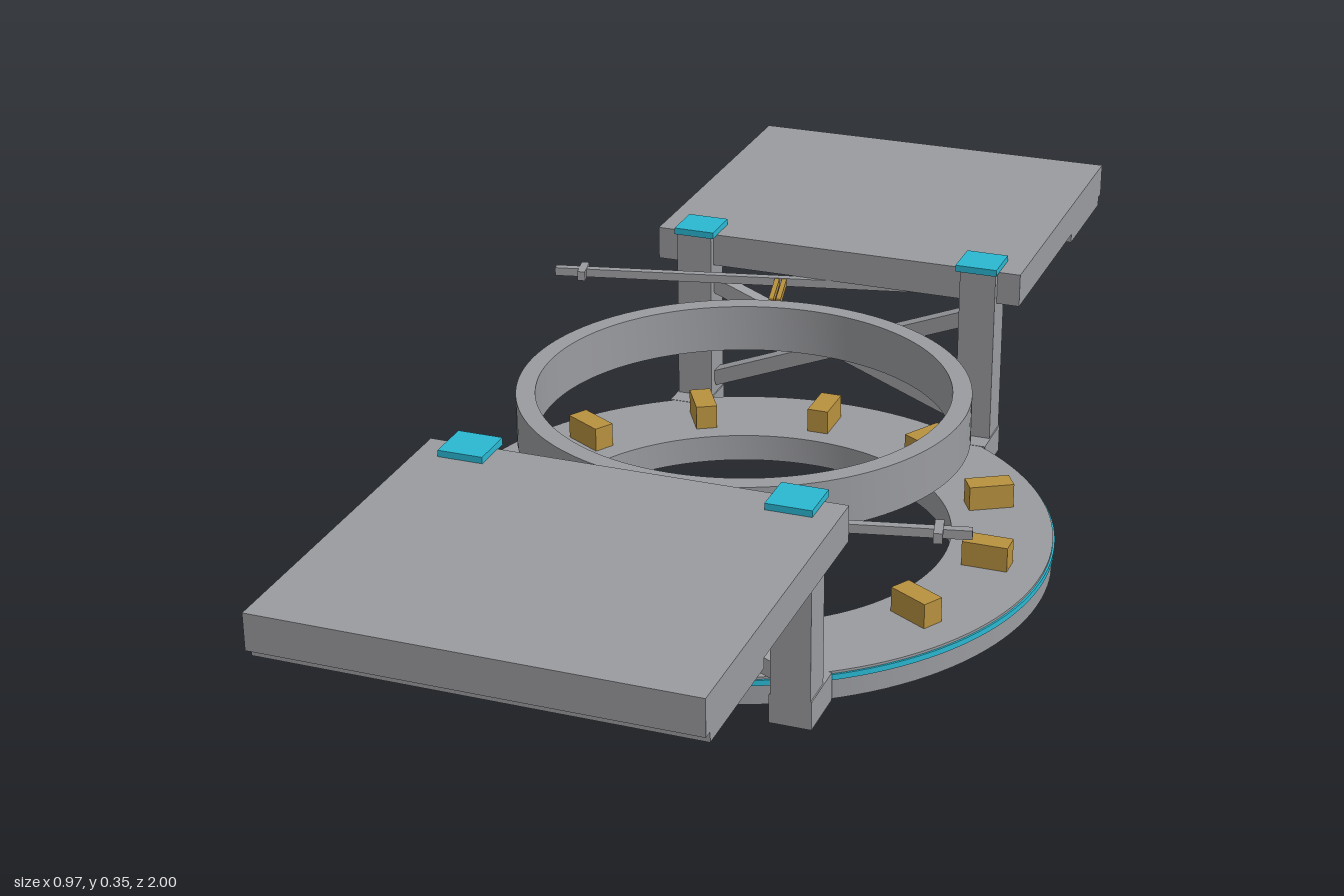
import * as THREE from 'three';
import { toCreasedNormals } from 'three/addons/utils/BufferGeometryUtils.js';

function material(name, color) {
  const m = new THREE.MeshStandardMaterial({ color });
  m.name = name;
  return m;
}

export function createModel() {
  const grey = material('steel grey', 0x9a9b9f);
  const gold = material('brass', 0xb8913f);
  const cyan = material('cyan light', 0x2ab8d2);
  const model = new THREE.Group();
  model.name = 'dockingStation';

  function add(parent, name, geometry, mat, x = 0, y = 0, z = 0) {
    const mesh = new THREE.Mesh(geometry, mat);
    mesh.name = name;
    mesh.position.set(x, y, z);
    parent.add(mesh);
    return mesh;
  }
  const box = (parent, name, mat, w, h, d, x, y, z) =>
    add(parent, name, new THREE.BoxGeometry(w, h, d), mat, x, y, z);

  // Flat ring with a square cross-section, from y0 to y1
  function ring(name, mat, inner, outer, y0, y1) {
    const shape = new THREE.Shape().absarc(0, 0, outer, 0, Math.PI * 2);
    shape.holes.push(new THREE.Path().absarc(0, 0, inner, 0, Math.PI * 2, true));
    const geo = new THREE.ExtrudeGeometry(shape, { depth: y1 - y0, bevelEnabled: false, curveSegments: 64 });
    geo.rotateX(-Math.PI / 2);
    add(model, name, toCreasedNormals(geo, 0.6), mat, 0, y0, 0);
  }
  ring('baseRing', grey, 0.325, 0.483, 0, 0.045);
  ring('baseLightBand', cyan, 0.475, 0.486, 0.032, 0.041);
  ring('upperRing', grey, 0.32, 0.35, 0.203, 0.28);

  // Clamp blocks around the base ring
  for (let i = 0; i < 12; i++) {
    const a = (i * Math.PI) / 6;
    const block = box(model, 'clampBlock', gold, 0.072, 0.041, 0.035,
      Math.cos(a) * 0.395, 0.0645, -Math.sin(a) * 0.395);
    block.rotation.y = a;
  }

  // One end: deck, legs, cross braces and swing arm
  function buildEnd(name) {
    const end = new THREE.Group();
    end.name = name;
    box(end, 'deck', grey, 0.63, 0.055, 0.555, 0, 0.3115, 0.7225);
    box(end, 'deckRib', grey, 0.63, 0.018, 0.195, 0, 0.278, 0.8875);

    for (const s of [-1, 1]) {
      box(end, 'leg', grey, 0.06, 0.338, 0.056, s * 0.247, 0.169, 0.461);
      box(end, 'foot', grey, 0.064, 0.0455, 0.09, s * 0.247, 0.0228, 0.444);
      box(end, 'legCap', cyan, 0.069, 0.011, 0.07, s * 0.245, 0.3435, 0.462);
      const brace = box(end, 'crossBrace', grey, 0.47, 0.026, 0.026, 0, 0.16, 0.461 + s * 0.0005);
      brace.rotation.z = s * 0.376;
    }

    // Swing arm crossing under the deck edge
    const arm = new THREE.Group();
    arm.name = 'swingArm';
    arm.position.set(0.0925, 0.2765, 0.435);
    arm.rotation.y = 0.224;
    box(arm, 'armBeam', grey, 0.764, 0.014, 0.013, 0, 0, 0);
    for (const s of [-1, 1]) {
      box(arm, 'armCrossbar', grey, 0.013, 0.016, 0.044, s * 0.335, 0, 0);
      box(arm, 'armProbe', gold, 0.008, 0.012, 0.09, s * 0.006, 0, -0.05);
    }
    end.add(arm);
    model.add(end);
    return end;
  }
  buildEnd('frontEnd');
  buildEnd('backEnd').rotation.y = Math.PI;

  return model;
}
